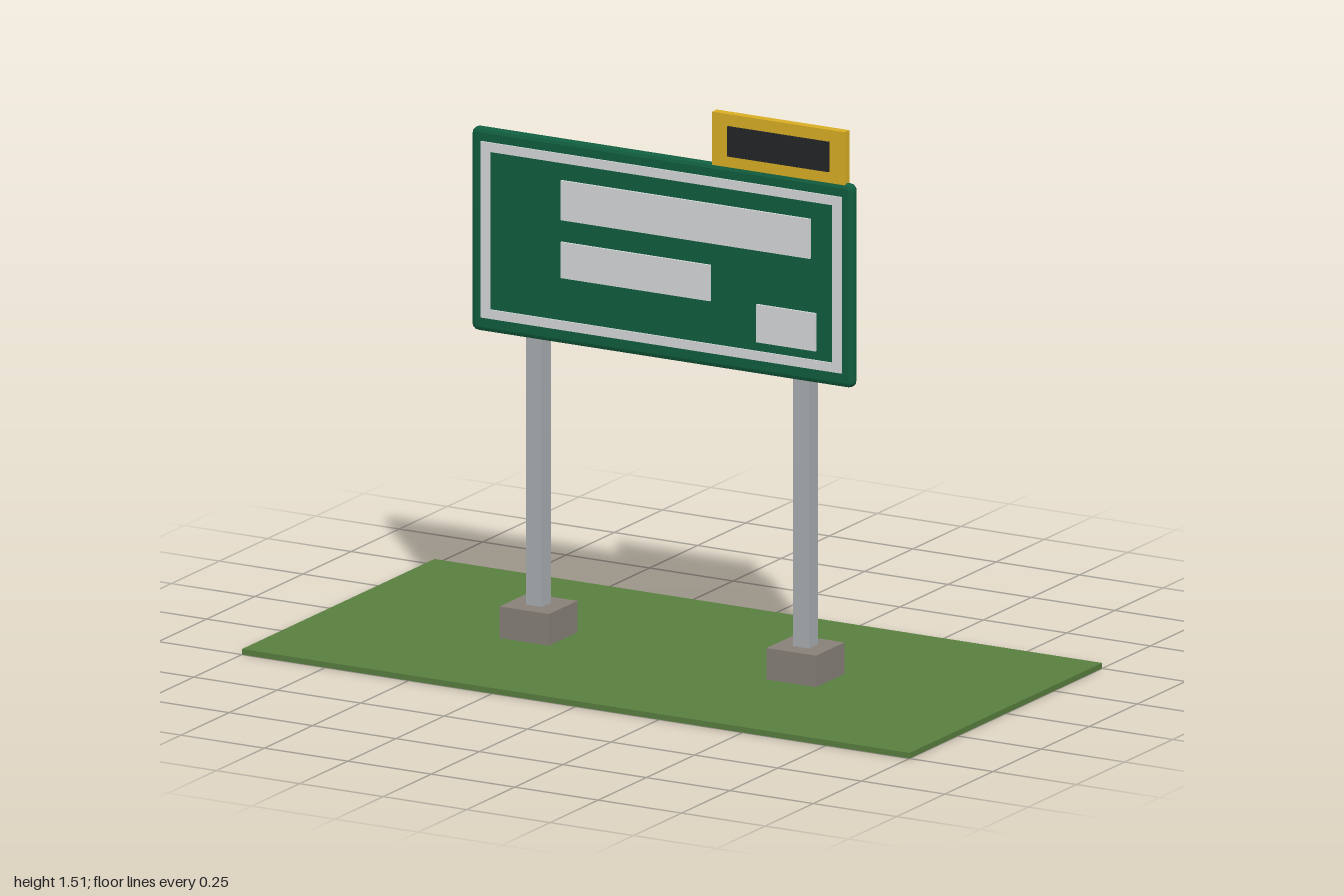
import * as THREE from 'three';

const material = (name, color) => {
  const m = new THREE.MeshStandardMaterial({ color });
  m.name = name;
  return m;
};

export function createModel() {
  const model = new THREE.Group();
  model.name = 'roadSign';

  const grass = material('grass green', 0x5a8040);
  const concrete = material('concrete', 0x88827a);
  const steel = material('galvanised steel', 0xacb0b4);
  const green = material('sign green', 0x115f40);
  const white = material('reflective white', 0xdadbde);
  const yellow = material('tab yellow', 0xdcb024);
  const black = material('tab black', 0x242528);

  const add = (name, geometry, mat) => {
    const mesh = new THREE.Mesh(geometry, mat);
    mesh.name = name;
    model.add(mesh);
    return mesh;
  };
  // Box given by its lower and upper limits on each axis
  const box = (name, mat, [x0, x1], [y0, y1], [z0, z1]) =>
    add(name, new THREE.BoxGeometry(x1 - x0, y1 - y0, z1 - z0), mat)
      .position.set((x0 + x1) / 2, (y0 + y1) / 2, (z0 + z1) / 2);
  // Rectangle outline centred on the sign panel
  const rectangle = (Type, w, h) => new Type([
    new THREE.Vector2(-w / 2, -h / 2), new THREE.Vector2(w / 2, -h / 2),
    new THREE.Vector2(w / 2, h / 2), new THREE.Vector2(-w / 2, h / 2),
  ]);

  // Ground slab
  box('ground', grass, [-1, 1], [0, 0.015], [-0.5, 0.5]);

  // Footings and posts
  for (const [side, x] of [['left', 0.4], ['right', -0.4]]) {
    box(side + 'Footing', concrete, [x - 0.074, x + 0.074], [0.001, 0.1], [-0.074, 0.074]);
    box(side + 'Post', steel, [x - 0.024, x + 0.024], [0.01, 1.3], [-0.0225, 0.0235]);
  }

  // Horizontal rails behind the panel
  for (const [name, y] of [['lowerRail', 0.9], ['upperRail', 1.1]]) {
    box(name, steel, [-0.5, 0.5], [y - 0.014, y + 0.014], [-0.0235, -0.002]);
  }

  // Panel with bevelled edges and slightly rounded corners
  const w = 0.56, h = 0.262, r = 0.008;
  const outline = new THREE.Shape();
  outline.moveTo(-w + r, -h).lineTo(w - r, -h).quadraticCurveTo(w, -h, w, -h + r);
  outline.lineTo(w, h - r).quadraticCurveTo(w, h, w - r, h);
  outline.lineTo(-w + r, h).quadraticCurveTo(-w, h, -w, h - r);
  outline.lineTo(-w, -h + r).quadraticCurveTo(-w, -h, -w + r, -h);
  add('signPanel', new THREE.ExtrudeGeometry(outline, {
    depth: 0.01, bevelEnabled: true, bevelThickness: 0.01, bevelSize: 0.012,
    bevelSegments: 2, curveSegments: 3,
  }), green).position.set(0, 1.101, 0.0335);

  // White border frame
  const frame = rectangle(THREE.Shape, 1.08, 0.475);
  frame.holes.push(rectangle(THREE.Path, 1.025, 0.425));
  add('border', new THREE.ExtrudeGeometry(frame, { depth: 0.005, bevelEnabled: false }), white)
    .position.set(0, 1.103, 0.053);

  // Blank message plates
  box('upperMessage', white, [-0.3, 0.447], [1.162, 1.269], [0.053, 0.06]);
  box('lowerMessage', white, [-0.3, 0.148], [1.006, 1.103], [0.053, 0.06]);
  box('distanceMessage', white, [0.287, 0.464], [0.915, 1.017], [0.053, 0.06]);

  // Exit tab above the panel
  box('exitTab', yellow, [0.149, 0.547], [1.37, 1.515], [0.026, 0.05]);
  box('exitTabPlate', black, [0.197, 0.5], [1.402, 1.483], [0.049, 0.055]);

  return model;
}
